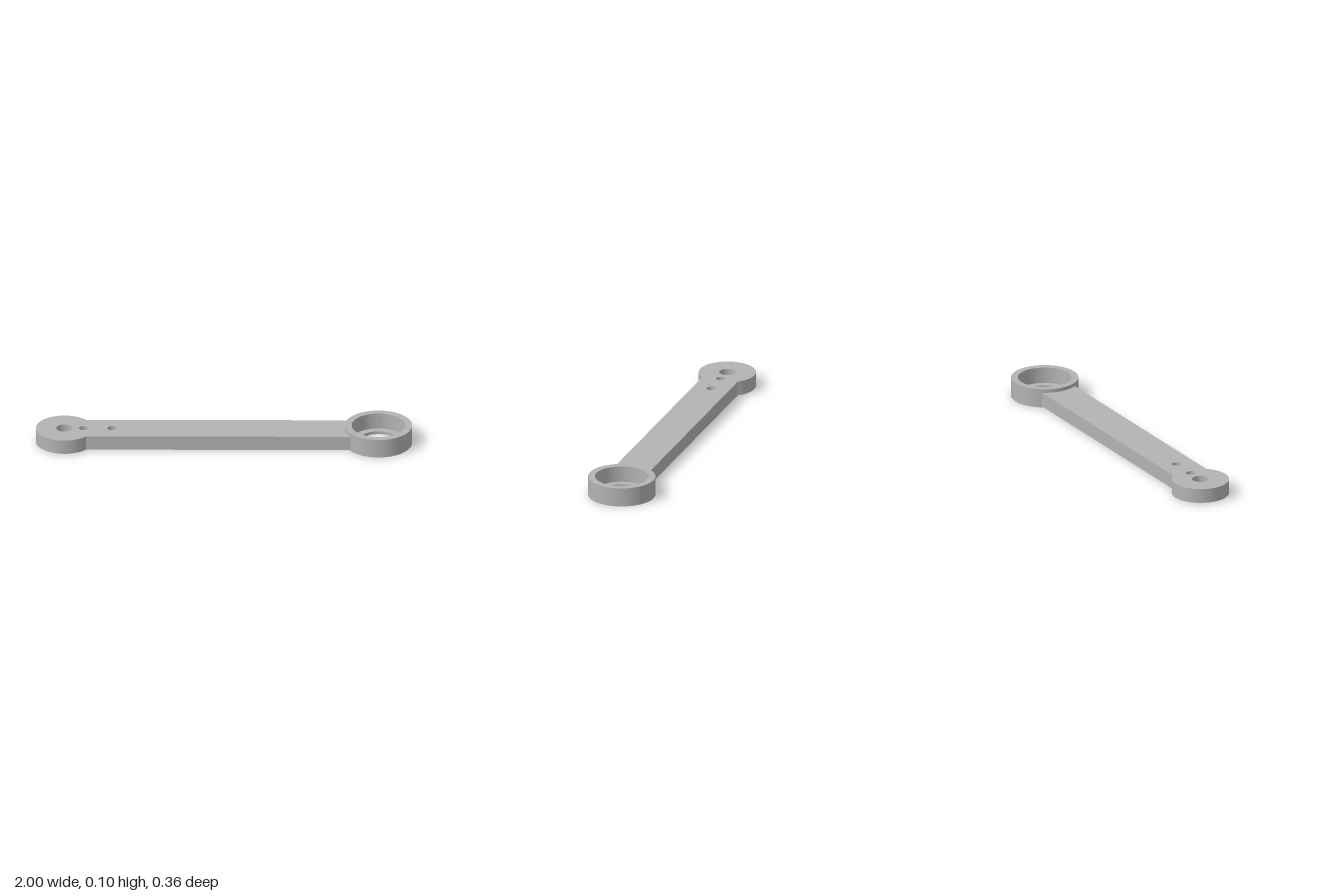
import * as THREE from 'three';
import { toCreasedNormals } from 'three/addons/utils/BufferGeometryUtils.js';

const CREASE = 0.5;

export function createModel() {
  const group = new THREE.Group();
  group.name = 'linkArm';
  const grey = new THREE.MeshStandardMaterial({ color: 0xb3b3b3 });
  grey.name = 'grey';

  const add = (name, geometry) => {
    const mesh = new THREE.Mesh(toCreasedNormals(geometry, CREASE), grey);
    mesh.name = name;
    group.add(mesh);
    return mesh;
  };

  // Flat arm: round pivot end, straight bar, concave end that meets the ring
  const half = 0.1, pivotX = -0.848, pivotR = 0.152, ringX = 0.82, seatR = 0.172;
  const a = Math.asin(half / pivotR);
  const b = Math.asin(half / seatR);
  const outline = new THREE.Shape();
  outline.absarc(pivotX, 0, pivotR, a, Math.PI * 2 - a, false);
  outline.absarc(ringX, 0, seatR, Math.PI + b, Math.PI - b, true);
  outline.closePath();

  // Pivot hole and two small holes
  for (const [x, r] of [[pivotX, 0.044], [-0.745, 0.025], [-0.594, 0.025]]) {
    const hole = new THREE.Path();
    hole.absarc(x, 0, r, 0, Math.PI * 2, true);
    outline.holes.push(hole);
  }
  const armGeometry = new THREE.ExtrudeGeometry(outline, { depth: 0.078, bevelEnabled: false, curveSegments: 48 });
  armGeometry.rotateX(-Math.PI / 2);
  add('arm', armGeometry).position.y = 0.005;

  // Bearing ring: deep pocket with a thin lip at the bottom
  const profile = [
    [0.104, 0], [0.179, 0], [0.179, 0.103], [0.142, 0.103],
    [0.142, 0.016], [0.104, 0.016], [0.104, 0],
  ].map(([r, y]) => new THREE.Vector2(r, y));
  add('bearingRing', new THREE.LatheGeometry(profile, 96)).position.x = ringX;

  return group;
}
